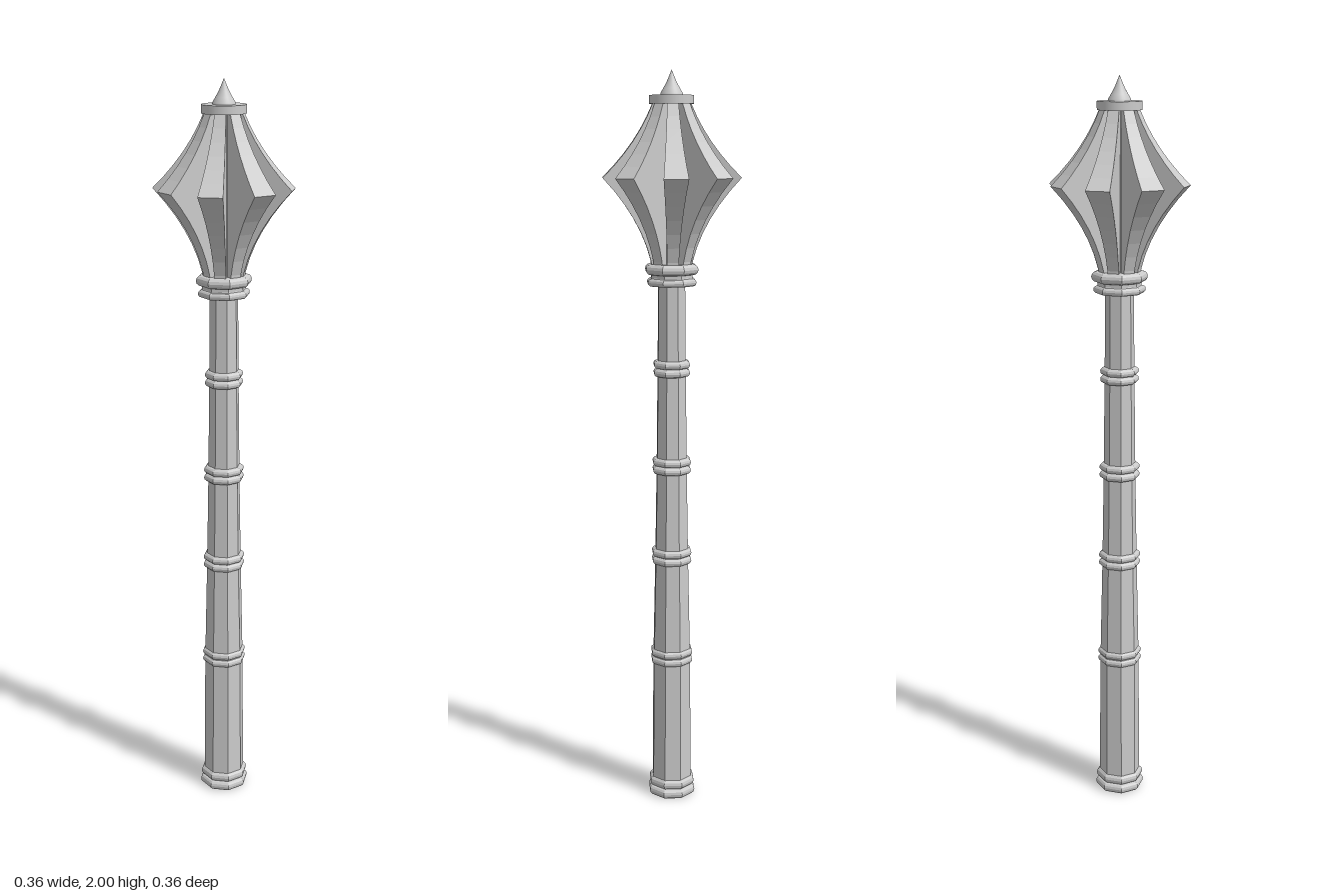
import * as THREE from 'three';

const flat = new THREE.MeshStandardMaterial({ color: 0xcccccc, flatShading: true });
const smooth = new THREE.MeshStandardMaterial({ color: 0xcccccc });

export function createModel() {
  const model = new THREE.Group();
  model.name = 'flangedMace';

  const add = (name, geometry, material = flat) => {
    const mesh = new THREE.Mesh(geometry, material);
    mesh.name = name;
    model.add(mesh);
    return mesh;
  };

  // Eight-sided turned part; radii are measured to the flats, which face the axes
  const octagonal = (profile) => new THREE.LatheGeometry(
    profile.map(([r, y]) => new THREE.Vector2(r / Math.cos(Math.PI / 8), y)), 8, Math.PI / 8);

  // Rounded bead profile, bottom to top
  const bead = (r, y, halfHeight, depth) => {
    const points = [];
    for (let i = 0; i <= 6; i++) {
      const a = -Math.PI / 2 + (i / 6) * Math.PI;
      points.push([r - depth + depth * Math.cos(a), y + halfHeight * Math.sin(a)]);
    }
    return points;
  };

  // Tapered shaft, running up through the head
  add('shaft', octagonal([
    [0.053, 0.03], [0.05, 0.41], [0.044, 0.7], [0.04, 0.955],
    [0.037, 1.225], [0.035, 1.45], [0.033, 1.92],
  ]));

  // Double-bead grip rings
  for (const [r, y] of [[0.056, 0.413], [0.053, 0.702], [0.051, 0.957], [0.048, 1.224]]) {
    add('gripRing', octagonal([
      [r - 0.025, y - 0.022],
      ...bead(r, y - 0.011, 0.011, 0.011), ...bead(r, y + 0.011, 0.011, 0.011),
      [r - 0.025, y + 0.022],
    ]));
  }

  // Pommel with a recessed underside
  add('pommel', octagonal([
    [0, 0.025], [0.037, 0.025], [0.043, 0], [0.056, 0],
    ...bead(0.063, 0.013, 0.013, 0.01), ...bead(0.061, 0.04, 0.014, 0.012), [0.04, 0.054],
  ]));

  // Collar under the head
  add('collar', octagonal([
    [0.025, 1.445], ...bead(0.064, 1.455, 0.01, 0.009),
    [0.054, 1.467], [0.054, 1.475],
    ...bead(0.069, 1.489, 0.014, 0.013), [0.025, 1.503],
  ]));

  // Flange: concave outline, growing wider away from the axis
  const outline = new THREE.Shape();
  outline.moveTo(0.015, 1.47);
  outline.lineTo(0.052, 1.47);
  outline.lineTo(0.055, 1.51);
  outline.quadraticCurveTo(0.082, 1.622, 0.181, 1.727);
  outline.quadraticCurveTo(0.09, 1.815, 0.05, 1.915);
  outline.lineTo(0.015, 1.915);
  const flange = new THREE.ExtrudeGeometry(outline, { depth: 1, bevelEnabled: false, curveSegments: 6 });
  flange.translate(0, 0, -0.5);
  const p = flange.attributes.position;
  for (let i = 0; i < p.count; i++) p.setZ(i, p.getZ(i) * 2 * (0.008 + 0.133 * p.getX(i)));
  flange.computeVertexNormals();
  for (let i = 0; i < 8; i++) add('flange', flange).rotation.y = (i * Math.PI) / 4;

  // Round cap and finial spike
  const cap = new THREE.CylinderGeometry(0.058, 0.058, 0.022, 32);
  add('headCap', cap, smooth).position.y = 1.925;
  add('finial', new THREE.LatheGeometry(
    [[0.03, 1.934], [0.029, 1.941], [0.022, 1.953], [0.014, 1.967], [0.007, 1.983], [0, 2]]
      .map(([r, y]) => new THREE.Vector2(r, y)), 32), smooth);

  return model;
}
